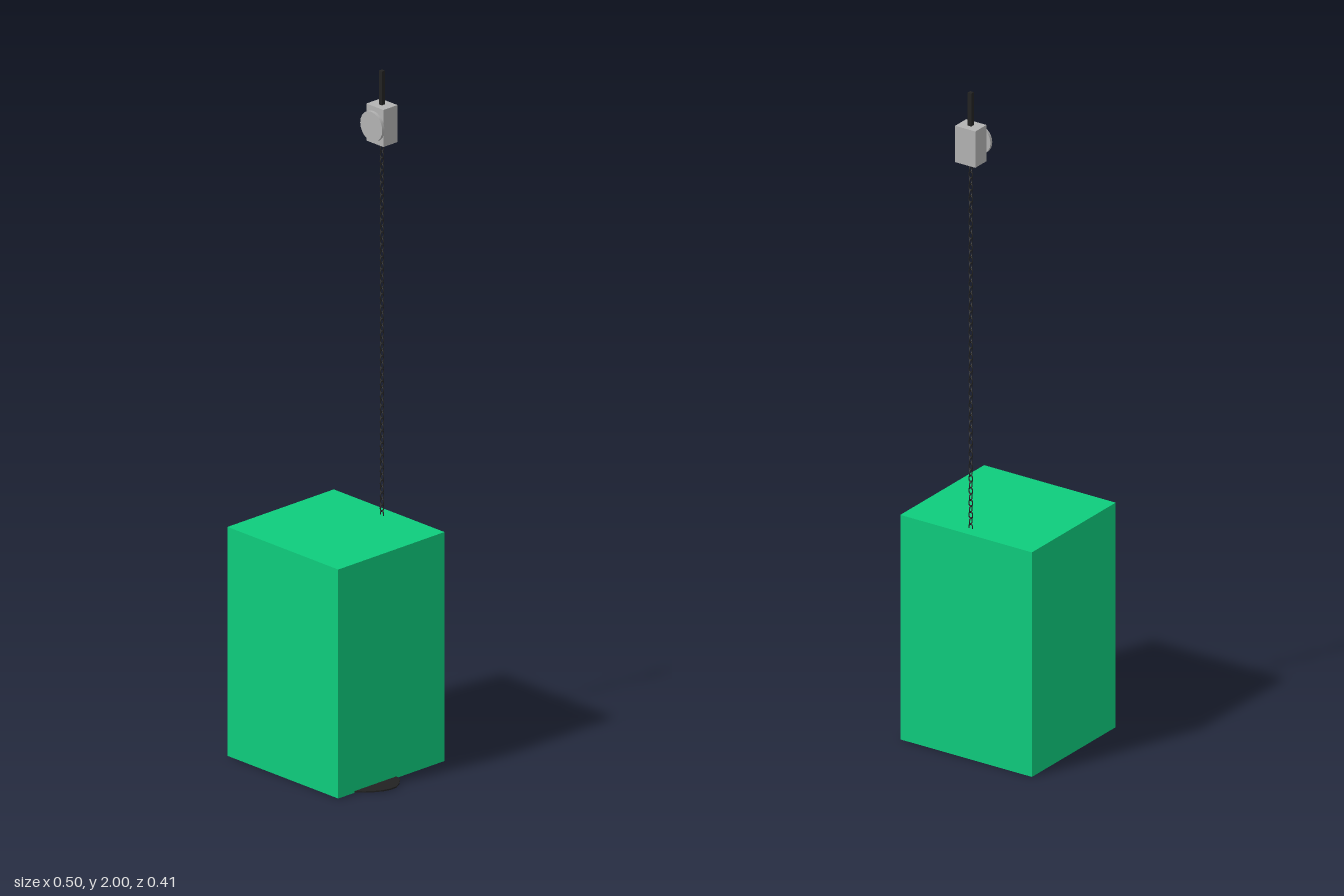
import * as THREE from 'three';

const green = new THREE.MeshStandardMaterial({ name: 'green', color: 0x0ecc7d });
const grey = new THREE.MeshStandardMaterial({ name: 'grey', color: 0xb3b3b3 });
const black = new THREE.MeshStandardMaterial({ name: 'black', color: 0x222222 });

export function createModel() {
  const model = new THREE.Group();
  const hangX = -0.018, hangZ = -0.166;

  const add = (name, geometry, material, x, y, z, parent = model) => {
    const mesh = new THREE.Mesh(geometry, material);
    mesh.name = name;
    mesh.position.set(x, y, z);
    parent.add(mesh);
    return mesh;
  };
  // Box given by its lower and upper corners
  const addBox = (name, material, lo, hi) => add(
    name,
    new THREE.BoxGeometry(hi[0] - lo[0], hi[1] - lo[1], hi[2] - lo[2]), material,
    (lo[0] + hi[0]) / 2, (lo[1] + hi[1]) / 2, (lo[2] + hi[2]) / 2);

  // Large hanging block
  addBox('block', green, [-0.249, 0, -0.203], [0.193, 0.68, 0.203]);

  // Flat dark disc at the foot, half under the block: outer edge, then its mirror
  const edge = [[0.193, -0.02], [0.215, -0.012], [0.234, 0.009], [0.247, 0.032], [0.248, 0.055],
    [0.242, 0.078], [0.23, 0.1], [0.213, 0.122], [0.193, 0.14]];
  const outline = [...edge, ...edge.map(([x, z]) => [0.32 - x, 0.12 - z])];
  const discShape = new THREE.Shape(outline.map(([x, z]) => new THREE.Vector2(x, -z)));
  const discGeometry = new THREE.ExtrudeGeometry(discShape, { depth: 0.004, bevelEnabled: false });
  discGeometry.rotateX(-Math.PI / 2);
  add('floorDisc', discGeometry, black, 0, 0.001, 0);

  // Upper housing with its round front plate and top rod
  addBox('housing', grey, [-0.052, 1.79, -0.193], [0.016, 1.9, -0.139]);
  const plate = new THREE.CylinderGeometry(0.044, 0.044, 0.009, 20);
  plate.rotateX(Math.PI / 2);
  add('frontPlate', plate, grey, hangX, 1.845, -0.1295);
  addBox('topRod', black, [hangX - 0.006, 1.89, hangZ - 0.006], [hangX + 0.006, 2, hangZ + 0.006]);

  // Chain of links, each turned a quarter from the one above
  const chain = new THREE.Group();
  chain.name = 'chain';
  model.add(chain);
  const link = new THREE.TorusGeometry(0.0075, 0.0019, 6, 12);
  link.scale(0.85, 1.3, 1);
  const count = 61, top = 1.787, bottom = 0.683;
  for (let i = 0; i < count; i++) {
    const y = top + (bottom - top) * i / (count - 1);
    add('chainLink', link, black, hangX, y, hangZ, chain).rotation.y = (i % 2) * Math.PI / 2;
  }
  return model;
}
